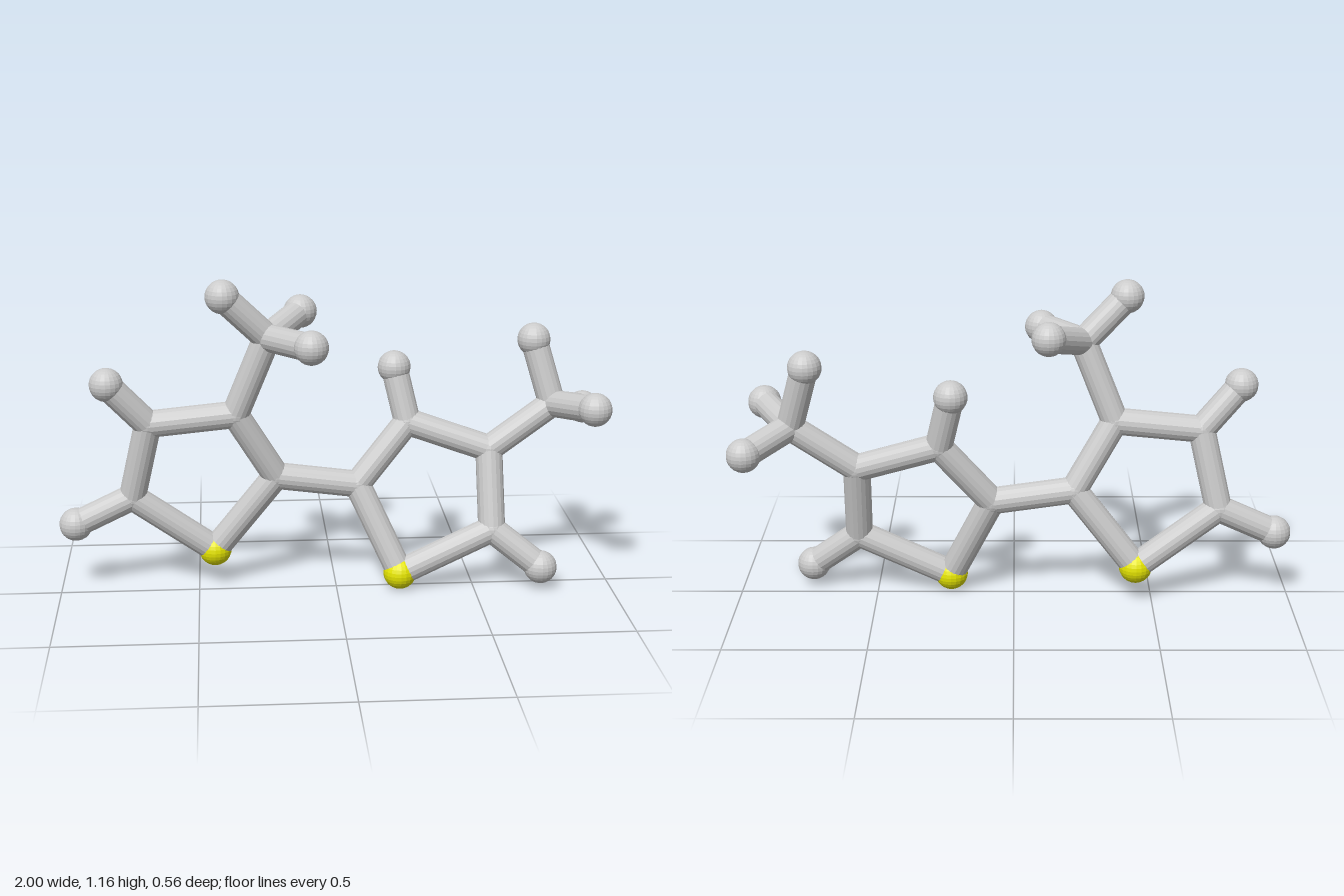
import * as THREE from 'three';

const TUBE = 0.049, JOINT = 0.05, BALL = 0.06;

// Ball positions: c = joint carbon, h = hydrogen, s = sulfur
const atoms = {
  // left ring
  s1: [-0.44, 0.13, -0.07],
  c1: [-0.735, 0.345, -0.045],
  c2: [-0.67, 0.63, 0],
  c3: [-0.36, 0.66, 0],
  c4: [-0.215, 0.415, -0.045],
  h1: [-0.94, 0.25, -0.035],
  h2: [-0.81, 0.785, 0.033],
  // left methyl group
  c5: [-0.245, 0.945, 0.03],
  h3: [-0.4, 1.1, 0.067],
  h4: [-0.12, 1.0, -0.145],
  h5: [-0.1, 0.95, 0.22],
  // right ring
  c6: [0.08, 0.375, -0.05],
  s2: [0.23, 0.06, 0.035],
  c7: [0.265, 0.595, -0.095],
  c8: [0.56, 0.5, -0.05],
  c9: [0.565, 0.217, 0.03],
  h6: [0.22, 0.79, -0.138],
  h7: [0.74, 0.083, 0.073],
  // right methyl group
  c10: [0.79, 0.66, -0.07],
  h8: [0.725, 0.89, -0.115],
  h9: [0.905, 0.69, 0.135],
  h10: [0.935, 0.605, -0.22],
};

const bonds = [
  's1 c1', 'c1 c2', 'c2 c3', 'c3 c4', 'c4 s1', 'c1 h1', 'c2 h2',
  'c3 c5', 'c5 h3', 'c5 h4', 'c5 h5', 'c4 c6',
  'c6 s2', 's2 c9', 'c9 c8', 'c8 c7', 'c7 c6', 'c7 h6', 'c9 h7',
  'c8 c10', 'c10 h8', 'c10 h9', 'c10 h10',
];

const kinds = {
  c: { name: 'carbonJoint', radius: JOINT },
  h: { name: 'hydrogenBall', radius: BALL },
  s: { name: 'sulfurBall', radius: BALL },
};

export function createModel() {
  const model = new THREE.Group();
  model.name = 'moleculeModel';
  const grey = new THREE.MeshStandardMaterial({ color: 0xcccccc, flatShading: true });
  const yellow = new THREE.MeshStandardMaterial({ color: 0xe6e600, flatShading: true });

  // balls and joints
  for (const [id, p] of Object.entries(atoms)) {
    const { name, radius } = kinds[id[0]];
    const ball = new THREE.Mesh(
      new THREE.SphereGeometry(radius, 20, 14), id[0] === 's' ? yellow : grey);
    ball.name = name + id.slice(1);
    ball.position.set(...p);
    model.add(ball);
  }

  // round bars between the ball centres
  const up = new THREE.Vector3(0, 1, 0);
  for (const bond of bonds) {
    const [a, b] = bond.split(' ').map((id) => new THREE.Vector3(...atoms[id]));
    const dir = b.clone().sub(a);
    const bar = new THREE.Mesh(
      new THREE.CylinderGeometry(TUBE, TUBE, dir.length(), 18, 1, true), grey);
    bar.name = 'bond ' + bond;
    bar.position.copy(a).add(b).multiplyScalar(0.5);
    bar.quaternion.setFromUnitVectors(up, dir.normalize());
    model.add(bar);
  }
  return model;
}
